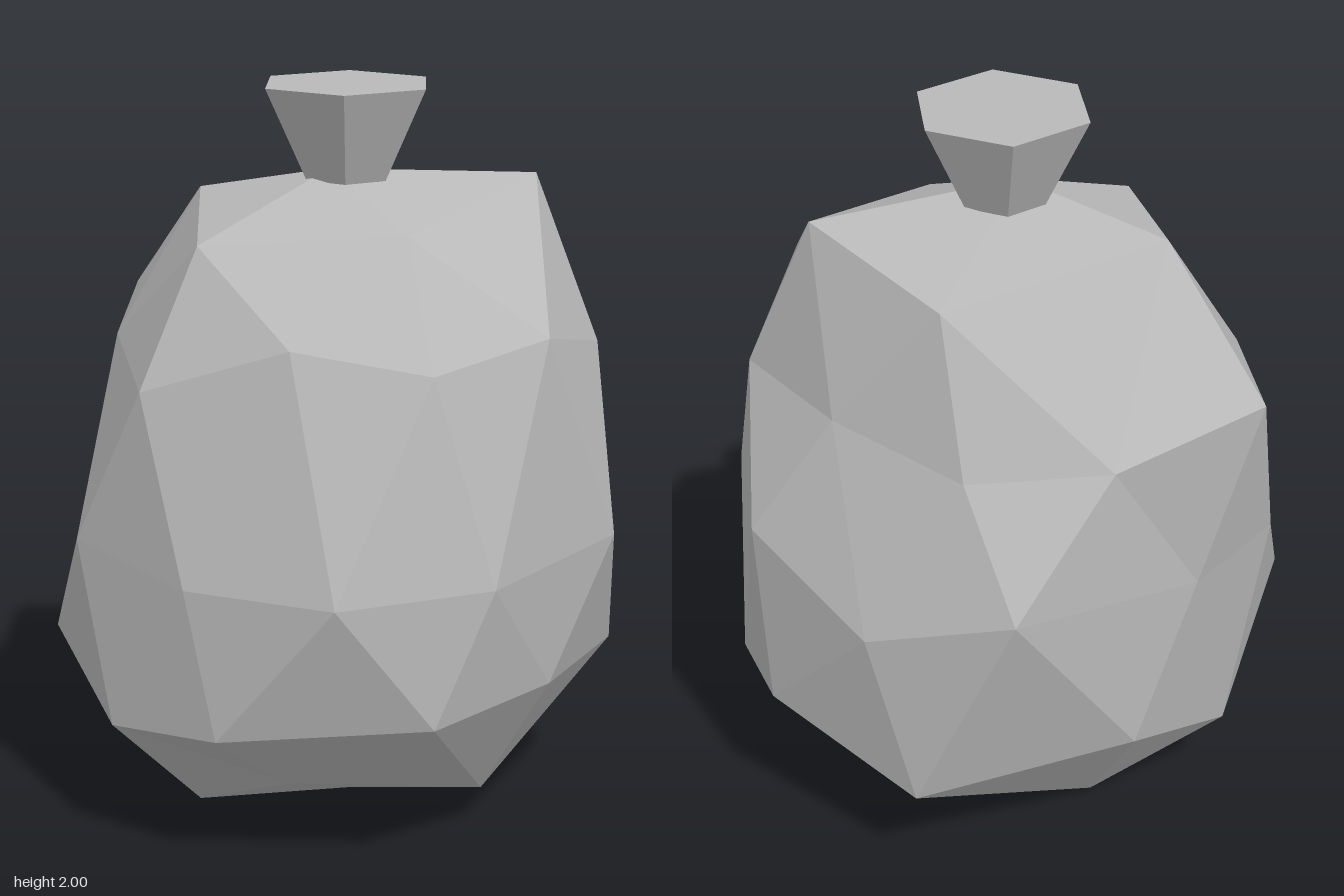
import * as THREE from 'three';

// Flat-faceted normals for any geometry
function facet(geometry) {
  const g = geometry.index ? geometry.toNonIndexed() : geometry;
  g.computeVertexNormals();
  return g;
}

// Lumpy sack: a dented sphere of rings of 5, 10, 10, 10 and 5 points between two poles
function sackGeometry() {
  const top = [-0.02, 1.78, 0.04];
  const shoulder = [
    [0.53, 1.75, -0.09], [0.19, 1.65, 0.30], [-0.35, 1.62, 0.29], [-0.38, 1.69, -0.18], [0.23, 1.66, -0.45],
  ];
  const upper = [
    [0.70, 1.31, 0.00], [0.55, 1.42, 0.44], [0.26, 1.35, 0.57], [-0.10, 1.41, 0.56], [-0.49, 1.27, 0.44],
    [-0.60, 1.31, -0.04], [-0.59, 1.36, -0.48], [-0.19, 1.26, -0.60], [0.19, 1.25, -0.59], [0.50, 1.31, -0.34],
  ];
  const middle = [
    [0.74, 0.85, 0.27], [0.42, 0.82, 0.65], [0.02, 0.80, 0.77], [-0.37, 0.80, 0.62], [-0.68, 0.83, 0.30],
    [-0.66, 0.89, -0.31], [-0.43, 0.85, -0.50], [0.08, 0.93, -0.77], [0.45, 0.80, -0.60], [0.72, 0.97, -0.30],
  ];
  const lower = [
    [0.76, 0.44, -0.07], [0.57, 0.49, 0.43], [0.27, 0.46, 0.70], [-0.29, 0.40, 0.65], [-0.58, 0.36, 0.44],
    [-0.77, 0.51, 0.08], [-0.56, 0.24, -0.29], [-0.26, 0.41, -0.59], [0.33, 0.31, -0.64], [0.69, 0.44, -0.32],
  ];
  const foot = [
    [0.40, 0.11, 0.24], [-0.12, 0.17, 0.37], [-0.38, 0.00, 0.09], [-0.19, 0.01, -0.28], [0.35, 0.01, -0.21],
  ];
  const bottom = [0.03, 0.00, 0.00];

  const positions = [];
  const tri = (a, b, c) => positions.push(...a, ...b, ...c);
  const at = (ring, i) => ring[(i + ring.length) % ring.length];

  // Caps and the five-to-ten transitions
  for (let k = 0; k < 5; k++) {
    const s = shoulder[k], sNext = at(shoulder, k + 1);
    tri(top, sNext, s);
    tri(s, at(upper, 2 * k + 1), at(upper, 2 * k));
    tri(s, at(upper, 2 * k), at(upper, 2 * k - 1));
    tri(s, sNext, at(upper, 2 * k + 1));

    const f = foot[k], fNext = at(foot, k + 1);
    tri(at(lower, 2 * k), at(lower, 2 * k + 1), f);
    tri(at(lower, 2 * k + 1), at(lower, 2 * k + 2), f);
    tri(at(lower, 2 * k + 2), fNext, f);
    tri(f, fNext, bottom);
  }

  // Bands around the belly, each ring staggered by half a step
  for (let k = 0; k < 10; k++) {
    tri(upper[k], at(upper, k + 1), middle[k]);
    tri(at(upper, k + 1), at(middle, k + 1), middle[k]);
    tri(at(middle, k - 1), middle[k], lower[k]);
    tri(middle[k], at(lower, k + 1), lower[k]);
  }

  const g = new THREE.BufferGeometry();
  g.setAttribute('position', new THREE.Float32BufferAttribute(positions, 3));
  return facet(g);
}

export function createModel() {
  const group = new THREE.Group();
  group.name = 'tiedSack';

  const grey = new THREE.MeshStandardMaterial({ color: 0xb8b8b8 });
  grey.name = 'grey';

  const sack = new THREE.Mesh(sackGeometry(), grey);
  sack.name = 'sack';
  group.add(sack);

  // Flared six-sided gather above the tie
  const neck = new THREE.Mesh(facet(new THREE.CylinderGeometry(0.24, 0.12, 0.25, 6)), grey);
  neck.name = 'neck';
  neck.position.set(0.025, 1.875, 0);
  group.add(neck);

  return group;
}
